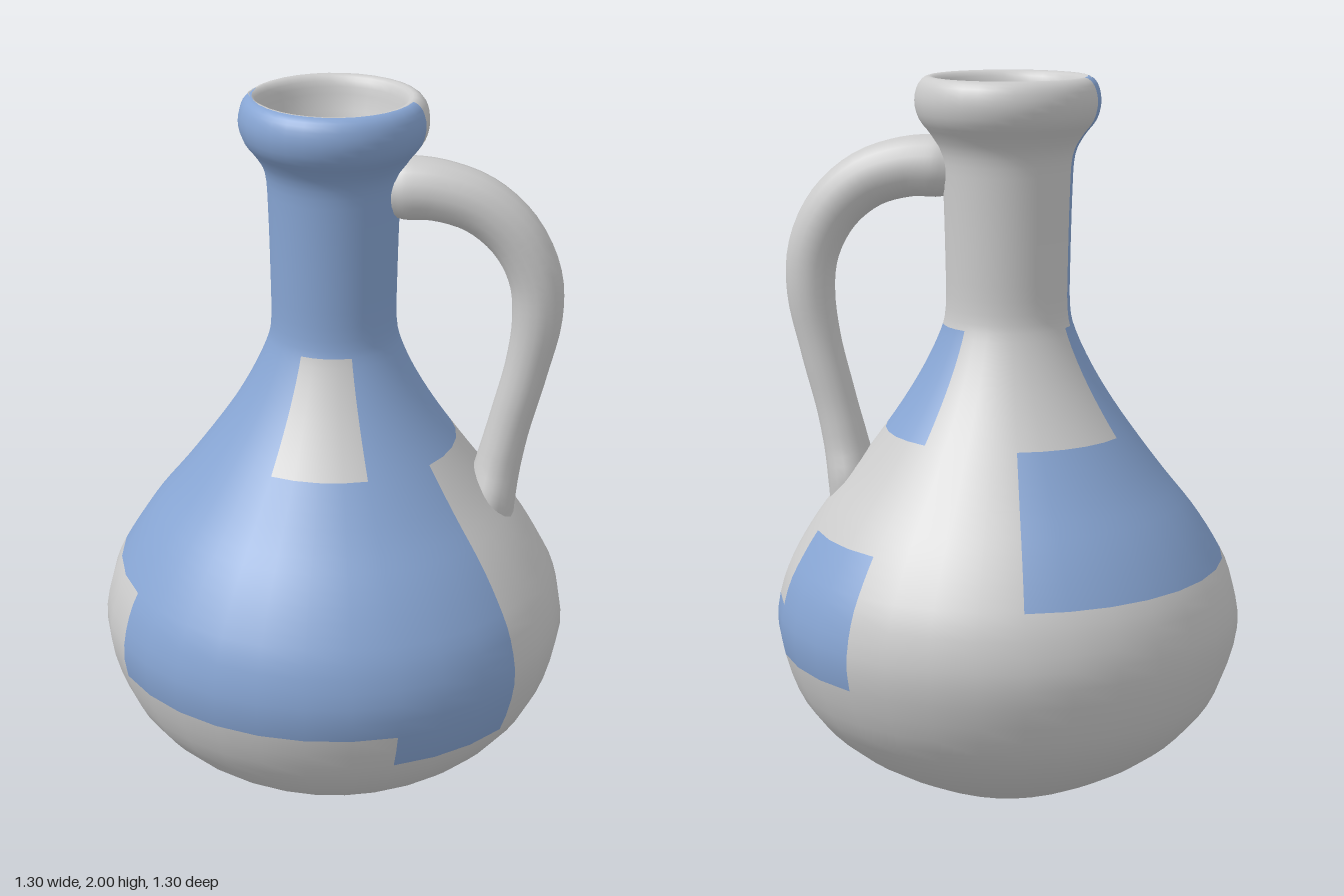
import * as THREE from 'three';

const SEGMENTS = 32;

// Outer wall from the base up, over the lip, then down the inside
const PROFILE = [
  [0, 0], [0.1, 0], [0.19, 0.003], [0.27, 0.03], [0.42, 0.11], [0.53, 0.2], [0.605, 0.31],
  [0.65, 0.47], [0.632, 0.6], [0.585, 0.7], [0.52, 0.8], [0.44, 0.9], [0.365, 1.0],
  [0.295, 1.1], [0.235, 1.2], [0.188, 1.3], [0.172, 1.37], [0.172, 1.5], [0.177, 1.7],
  [0.184, 1.79], [0.208, 1.84], [0.242, 1.885], [0.254, 1.935], [0.243, 1.98], [0.217, 2.0],
  [0.193, 1.985], [0.178, 1.93], [0.158, 1.86], [0.15, 1.78], [0.148, 1.36], [0.21, 1.2],
  [0.34, 1.0], [0.49, 0.8], [0.6, 0.6], [0.62, 0.47], [0.57, 0.31], [0.4, 0.13],
  [0.2, 0.035], [0, 0.03],
];

// Glazed areas of the outside: [low y, high y, from degrees, to degrees], 0 = front, 90 = handle
const GLAZE = [
  [1.84, 2.01, -100, 80],
  [1.33, 1.84, -100, 100],
  [1.05, 1.33, -112, -25], [1.05, 1.33, 25, 145],
  [0.66, 1.05, -170, 58], [0.55, 0.78, 110, 145],
  [0.42, 0.66, -58, 60], [0.4, 0.55, 100, 145],
  [0.3, 0.42, 22, 58],
];

function createVessel() {
  const curve = new THREE.SplineCurve(PROFILE.map(([r, y]) => new THREE.Vector2(r, y)));
  const points = curve.getPoints((PROFILE.length - 1) * 3);
  points.forEach((p) => { p.x = Math.max(p.x, 0); p.y = THREE.MathUtils.clamp(p.y, 0, 2); });
  const lip = points.reduce((best, p, i) => (p.y > points[best].y ? i : best), 0);
  const lathe = new THREE.LatheGeometry(points, SEGMENTS);

  // Slight pouring notch on the inner edge opposite the handle
  const pos = lathe.attributes.position;
  for (let i = 0; i < pos.count; i++) {
    const x = pos.getX(i), y = pos.getY(i), z = pos.getZ(i);
    const j = i % points.length;
    if (j > lip && y > 1.88 && x < 0) {
      const push = 1 + 0.1 * Math.max(0, 1 - Math.abs(z) / 0.12);
      pos.setXYZ(i, x * push, y, z * push);
    }
  }

  // Sort the faces into bare clay and glaze; both keep the same smooth normals
  const bare = [], glazed = [];
  const rows = points.length - 1;
  for (let i = 0; i < SEGMENTS; i++) {
    let deg = ((i + 0.5) / SEGMENTS) * 360;
    if (deg > 180) deg -= 360;
    for (let j = 0; j < rows; j++) {
      const y = (points[j].y + points[j + 1].y) / 2;
      const blue = j < lip && GLAZE.some(([y0, y1, a, b]) => y >= y0 && y < y1 && deg > a && deg < b);
      const a = i * points.length + j, b = a + points.length;
      (blue ? glazed : bare).push(a, b, a + 1, b + 1, a + 1, b);
    }
  }
  const vessel = new THREE.Group();
  vessel.name = 'vessel';
  for (const [name, index, color] of [['clayBody', bare, 0xcccccc], ['blueGlaze', glazed, 0x87a5d3]]) {
    const geometry = lathe.clone();
    geometry.setIndex(index);
    const mesh = new THREE.Mesh(geometry, new THREE.MeshStandardMaterial({ color }));
    mesh.name = name;
    vessel.add(mesh);
  }
  return vessel;
}

// Curved handle whose cross-section changes along its path
function createHandle() {
  // [x, y, half thickness, half width]
  const stations = [
    [0.155, 1.752, 0.078, 0.078], [0.2, 1.754, 0.086, 0.086], [0.28, 1.75, 0.083, 0.083],
    [0.39, 1.715, 0.08, 0.078], [0.485, 1.635, 0.077, 0.074], [0.543, 1.52, 0.073, 0.072],
    [0.553, 1.4, 0.068, 0.07], [0.528, 1.25, 0.06, 0.063], [0.49, 1.1, 0.059, 0.063],
    [0.46, 0.97, 0.063, 0.075], [0.442, 0.87, 0.069, 0.1], [0.435, 0.79, 0.07, 0.098],
    [0.432, 0.75, 0.05, 0.07],
  ];
  const path = new THREE.CatmullRomCurve3(stations.map(([x, y]) => new THREE.Vector3(x, y, 0)));
  const sizes = new THREE.CatmullRomCurve3(stations.map(([, , t, w]) => new THREE.Vector3(t, w, 0)));
  const steps = 48, sides = 16;
  const positions = [], index = [];
  for (let i = 0; i <= steps; i++) {
    const t = i / steps;
    const c = path.getPoint(t), d = path.getTangent(t), s = sizes.getPoint(t);
    for (let k = 0; k < sides; k++) {
      const a = (k / sides) * Math.PI * 2;
      const out = Math.cos(a) * s.x;
      positions.push(c.x - d.y * out, c.y + d.x * out, Math.sin(a) * s.y);
      if (i < steps) {
        const p = i * sides + k, q = i * sides + ((k + 1) % sides);
        index.push(p, q, p + sides, q, q + sides, p + sides);
      }
    }
  }
  const geometry = new THREE.BufferGeometry();
  geometry.setAttribute('position', new THREE.Float32BufferAttribute(positions, 3));
  geometry.setIndex(index);
  geometry.computeVertexNormals();
  const handle = new THREE.Mesh(geometry, new THREE.MeshStandardMaterial({ color: 0xcccccc }));
  handle.name = 'handle';
  return handle;
}

export function createModel() {
  const jug = new THREE.Group();
  jug.name = 'jug';
  jug.add(createVessel(), createHandle());
  return jug;
}
